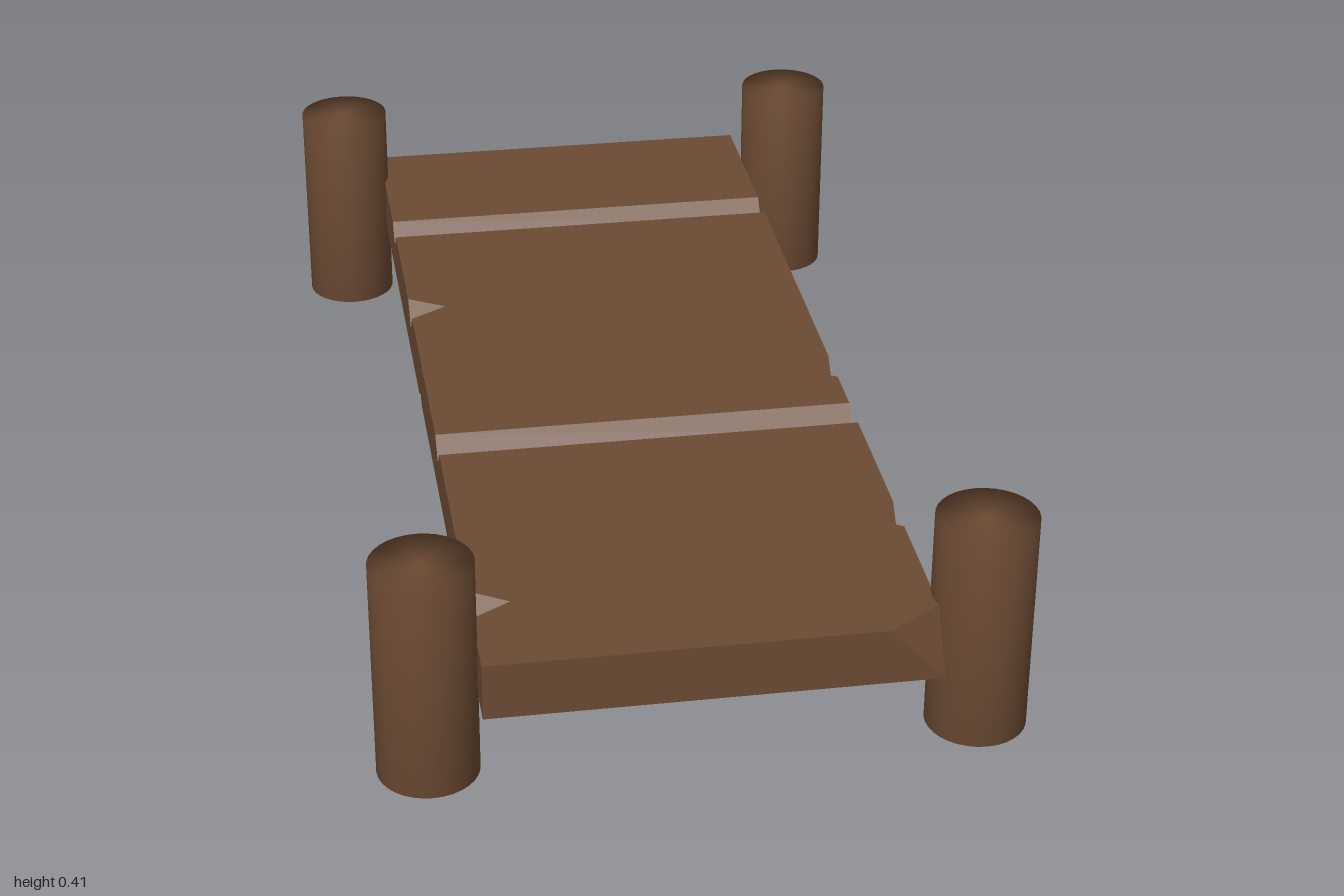
import * as THREE from 'three';
import { mergeVertices } from 'three/addons/utils/BufferGeometryUtils.js';

const LEFT = -0.4, RIGHT = 0.385, BOTTOM = 0.155, TOP = 0.26;
const GROOVES = [[-0.675, -0.637, -0.6], [0.233, 0.272, 0.308]]; // start, valley, end in z
const GROOVE_Y = 0.223;
// chips along the long edges: z positions, in ascending order
const TOP_NOTCHES = { [LEFT]: [-0.275, 0.813], [RIGHT]: [0.087, 0.637] };
const BOTTOM_NOTCHES = { [LEFT]: [-0.09], [RIGHT]: [0.46] };
const TOP_NOTCH = { half: 0.043, inset: 0.07, y: TOP, tip: 0.215 };
const BOTTOM_NOTCH = { half: 0.025, inset: 0.025, y: BOTTOM, tip: 0.18 };
const CORNER = { x: 0.285, y: 0.157, z: 0.935 }; // broken front corner

// Collects flat polygons; hint is any vector on the outer side of the face
function createFaceBuilder() {
  const positions = [];
  const add = (points, hint) => {
    const p = points.map((c) => new THREE.Vector3(...c));
    const out = new THREE.Vector3(...hint);
    const normal = new THREE.Vector3();
    p.forEach((a, i) => normal.add(a.clone().cross(p[(i + 1) % p.length])));
    const size = normal.toArray().map(Math.abs);
    const drop = size.indexOf(Math.max(...size));
    const [u, v] = [0, 1, 2].filter((k) => k !== drop);
    const flat = points.map((c) => new THREE.Vector2(c[u], c[v]));
    for (const tri of THREE.ShapeUtils.triangulateShape(flat, [])) {
      const [a, b, c] = tri.map((i) => p[i]);
      const n = b.clone().sub(a).cross(c.clone().sub(a));
      const order = n.dot(out) < 0 ? [a, c, b] : [a, b, c];
      order.forEach((q) => positions.push(q.x, q.y, q.z));
    }
  };
  const build = () => {
    const g = new THREE.BufferGeometry();
    g.setAttribute('position', new THREE.Float32BufferAttribute(positions, 3));
    g.computeVertexNormals();
    return g;
  };
  return { add, build };
}

// Horizontal outline of one long edge between two z values, with notch apexes
function edge(x, z0, z1, table, notch) {
  const inner = x - Math.sign(x) * notch.inset;
  const pts = [[x, notch.y, z0]];
  for (const z of table[x]) {
    if (z < z0 || z > z1) continue;
    pts.push([x, notch.y, z - notch.half], [inner, notch.y, z], [x, notch.y, z + notch.half]);
  }
  pts.push([x, notch.y, z1]);
  return pts;
}

// The same edge seen on the vertical side: apexes move to the notch tips
function sideEdge(x, z0, z1, table, notch) {
  return edge(x, z0, z1, table, notch).map(([px, py, pz]) => (px === x ? [x, py, pz] : [x, notch.tip, pz]));
}

function deckGeometry() {
  const { add, build } = createFaceBuilder();
  const starts = [-1, ...GROOVES.map((g) => g[2])];
  const ends = [...GROOVES.map((g) => g[0]), 1];

  // top panels between the grooves
  starts.forEach((z0, i) => {
    const last = ends[i] === 1;
    const right = edge(RIGHT, z0, last ? CORNER.z : ends[i], TOP_NOTCHES, TOP_NOTCH);
    if (last) right.push([CORNER.x, TOP, 1]);
    add([...edge(LEFT, z0, ends[i], TOP_NOTCHES, TOP_NOTCH), ...right.reverse()], [0, 1, 0]);
  });

  // V grooves
  for (const [a, b, c] of GROOVES) {
    for (const z of [a, c]) {
      add([[LEFT, TOP, z], [RIGHT, TOP, z], [RIGHT, GROOVE_Y, b], [LEFT, GROOVE_Y, b]], [0, 1, 0]);
    }
  }

  // long sides and their notches
  for (const x of [LEFT, RIGHT]) {
    const outline = [];
    starts.forEach((z0, i) => {
      const end = ends[i] === 1 && x === RIGHT ? CORNER.z : ends[i];
      outline.push(...sideEdge(x, z0, end, TOP_NOTCHES, TOP_NOTCH));
      if (GROOVES[i]) outline.push([x, GROOVE_Y, GROOVES[i][1]]);
    });
    if (x === RIGHT) outline.push([x, CORNER.y, 1]);
    outline.push(...sideEdge(x, -1, 1, BOTTOM_NOTCHES, BOTTOM_NOTCH).reverse());
    add(outline, [x, 0, 0]);

    for (const [table, n] of [[TOP_NOTCHES, TOP_NOTCH], [BOTTOM_NOTCHES, BOTTOM_NOTCH]]) {
      for (const z of table[x]) {
        for (const s of [-1, 1]) {
          add([[x, n.y, z + s * n.half], [x - Math.sign(x) * n.inset, n.y, z], [x, n.tip, z]], [0, 0, -s]);
        }
      }
    }
  }

  // underside, back, front and broken corner
  add([...edge(LEFT, -1, 1, BOTTOM_NOTCHES, BOTTOM_NOTCH),
    ...edge(RIGHT, -1, 1, BOTTOM_NOTCHES, BOTTOM_NOTCH).reverse()], [0, -1, 0]);
  add([[LEFT, BOTTOM, -1], [RIGHT, BOTTOM, -1], [RIGHT, TOP, -1], [LEFT, TOP, -1]], [0, 0, -1]);
  add([[LEFT, BOTTOM, 1], [RIGHT, BOTTOM, 1], [RIGHT, CORNER.y, 1], [CORNER.x, TOP, 1], [LEFT, TOP, 1]], [0, 0, 1]);
  add([[CORNER.x, TOP, 1], [RIGHT, TOP, CORNER.z], [RIGHT, CORNER.y, 1]], [1, 1, 1]);
  return build();
}

// Cylinder with shading running smoothly over the rims
function postGeometry() {
  const g = new THREE.CylinderGeometry(0.089, 0.089, 0.412, 32);
  g.deleteAttribute('normal');
  g.deleteAttribute('uv');
  const smooth = mergeVertices(g);
  smooth.computeVertexNormals();
  return smooth;
}

export function createModel() {
  const group = new THREE.Group();
  group.name = 'plankWalkway';
  const wood = new THREE.MeshStandardMaterial({ color: 0x6b4a33 });

  const deck = new THREE.Mesh(deckGeometry(), wood);
  deck.name = 'deck';
  group.add(deck);

  const post = postGeometry();
  const places = {
    frontLeftPost: [0.469, 0.906], frontRightPost: [-0.486, 0.906],
    backLeftPost: [0.483, -0.911], backRightPost: [-0.479, -0.911],
  };
  for (const [name, [x, z]] of Object.entries(places)) {
    const mesh = new THREE.Mesh(post, wood);
    mesh.name = name;
    mesh.position.set(x, 0.206, z);
    group.add(mesh);
  }
  return group;
}
